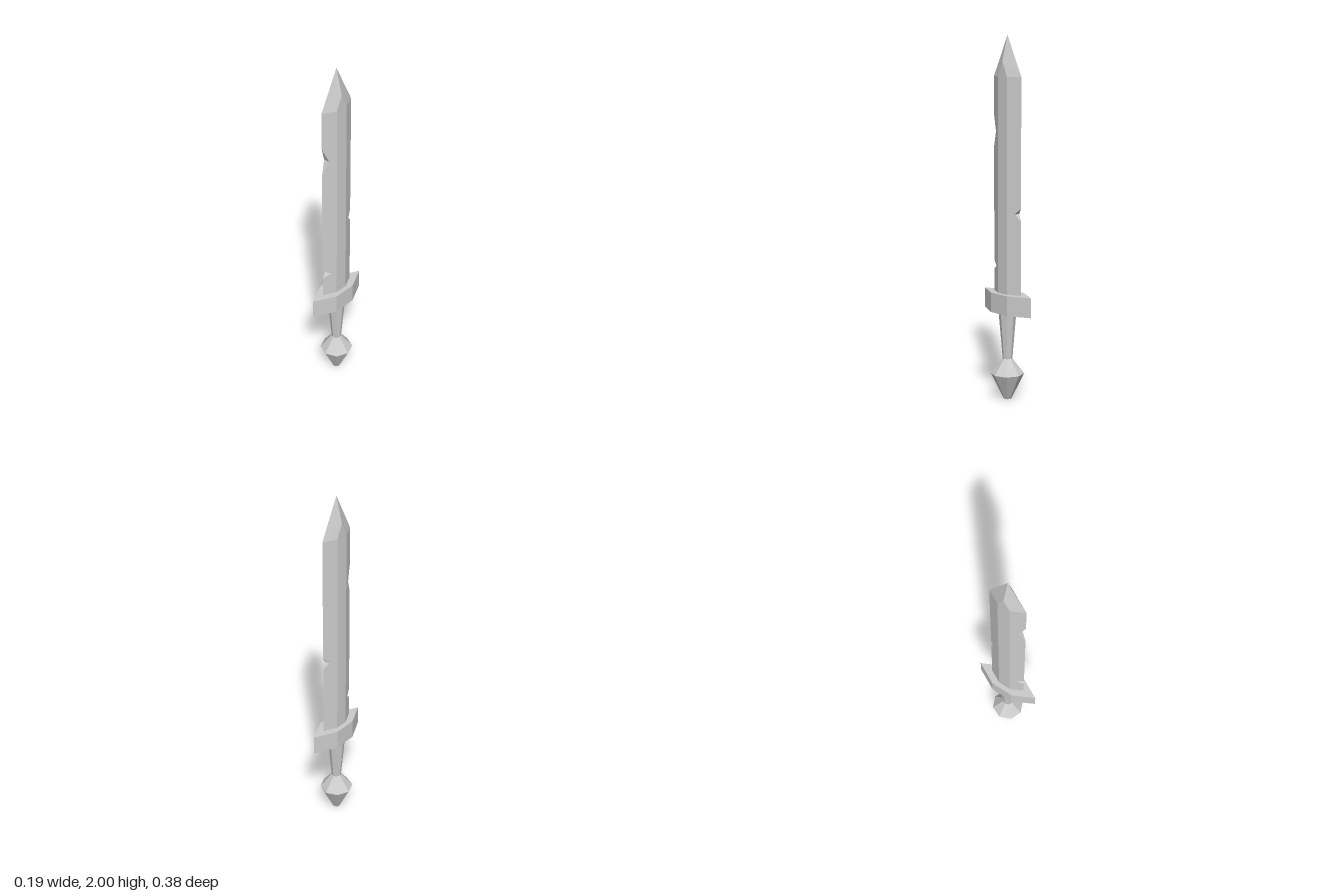
import * as THREE from 'three';

const material = new THREE.MeshStandardMaterial({ color: 0xcccccc, flatShading: true });

// Blade cross-section: half width, half depth of the flat, half depth to the edge
const W = 0.037, F = 0.036, E = 0.109;
const BASE = 0.6, SHOULDER = 1.78, FLAT_TOP = 1.86, TIP = 2;

// Nicks along each edge: [bottom y, deepest y, top y, deepest z]
const frontNicks = [[0.72, 0.745, 0.77, 0.066], [1.4, 1.485, 1.57, 0.073]];
const backNicks = [[1.01, 1.045, 1.08, 0.077]];

// Half thickness of the bevel at depth z
const bevelX = (z) => (W * (E - z)) / (E - F);

function add(group, name, geometry, y = 0) {
  const mesh = new THREE.Mesh(geometry, material);
  mesh.name = name;
  mesh.position.y = y;
  group.add(mesh);
}

function bladeGeometry() {
  const positions = [];
  const v = (x, y, z) => new THREE.Vector3(x, y, z);

  // Triangulates a flat polygon in its z-y (or x-y) outline, facing the outward direction
  function face(points, outward, flat = (p) => new THREE.Vector2(p.z, p.y)) {
    for (const tri of THREE.ShapeUtils.triangulateShape(points.map(flat), [])) {
      const [a, b, c] = tri.map((i) => points[i]);
      const normal = b.clone().sub(a).cross(c.clone().sub(a));
      const order = normal.dot(outward) < 0 ? [a, c, b] : [a, b, c];
      order.forEach((p) => positions.push(p.x, p.y, p.z));
    }
  }

  for (const sx of [1, -1]) {
    const out = v(sx, 0, 0);
    // Central flat, ending in a point
    face([v(sx * W, BASE, F), v(sx * W, SHOULDER, F), v(sx * W, FLAT_TOP, 0),
      v(sx * W, SHOULDER, -F), v(sx * W, BASE, -F)], out);

    for (const [sz, nicks] of [[1, frontNicks], [-1, backNicks]]) {
      // Nicked bevel
      const bevel = [v(sx * W, SHOULDER, sz * F), v(sx * W, BASE, sz * F), v(0, BASE, sz * E)];
      for (const [y0, y1, y2, z] of nicks) {
        bevel.push(v(0, y0, sz * E), v(sx * bevelX(z), y1, sz * z), v(0, y2, sz * E));
      }
      bevel.push(v(0, SHOULDER, sz * E));
      face(bevel, out);
      // Quarter of the tip
      face([v(0, TIP, 0), v(sx * W, FLAT_TOP, 0), v(sx * W, SHOULDER, sz * F),
        v(0, SHOULDER, sz * E)], out);
    }
  }

  // Walls of the nicks
  const xy = (p) => new THREE.Vector2(p.x, p.y);
  for (const [sz, nicks] of [[1, frontNicks], [-1, backNicks]]) {
    for (const [y0, y1, y2, z] of nicks) {
      for (const y of [y0, y2]) {
        face([v(0, y, sz * E), v(bevelX(z), y1, sz * z), v(-bevelX(z), y1, sz * z)], v(0, 0, sz), xy);
      }
    }
  }

  const geometry = new THREE.BufferGeometry();
  geometry.setAttribute('position', new THREE.Float32BufferAttribute(positions, 3));
  geometry.computeVertexNormals();
  return geometry;
}

// Six-sided crossguard
function guardGeometry(height) {
  const outline = [[0, 0.19], [-0.063, 0.066], [-0.063, -0.066], [0, -0.19], [0.063, -0.066], [0.063, 0.066]];
  const shape = new THREE.Shape(outline.map(([x, y]) => new THREE.Vector2(x, y)));
  return new THREE.ExtrudeGeometry(shape, { depth: height, bevelEnabled: false }).rotateX(-Math.PI / 2);
}

// Eight-sided tapered section standing on its base
function taper(bottom, top, height, open = false) {
  return new THREE.CylinderGeometry(top, bottom, height, 8, 1, open).translate(0, height / 2, 0);
}

export function createModel() {
  const sword = new THREE.Group();
  sword.name = 'sword';

  add(sword, 'blade', bladeGeometry());
  add(sword, 'crossguard', guardGeometry(0.11), 0.49);
  add(sword, 'grip', taper(0.027, 0.049, 0.26), 0.23);

  const pommel = new THREE.Group();
  pommel.name = 'pommel';
  add(pommel, 'pommelLower', taper(0.022, 0.093, 0.145));
  add(pommel, 'pommelUpper', taper(0.093, 0.027, 0.085, true), 0.145);
  sword.add(pommel);

  return sword;
}
